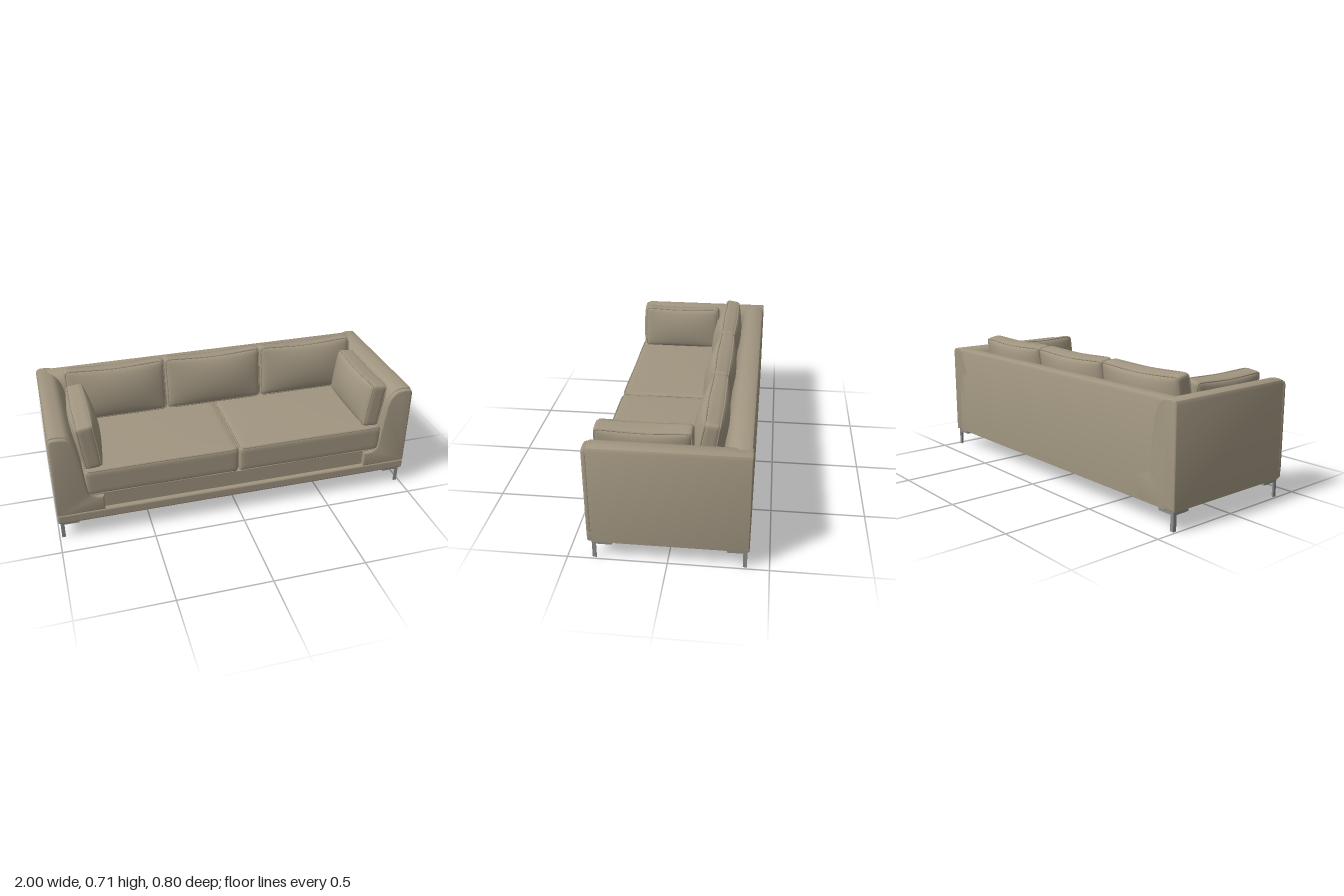
import * as THREE from 'three';
import { mergeVertices, toCreasedNormals } from 'three/addons/utils/BufferGeometryUtils.js';
import { RoundedBoxGeometry } from 'three/addons/geometries/RoundedBoxGeometry.js';

const fabric = new THREE.MeshStandardMaterial({ color: 0xa09580 });
fabric.name = 'taupe fabric';
const metal = new THREE.MeshStandardMaterial({ color: 0x8c8c8c });
metal.name = 'brushed metal';
const lining = new THREE.MeshStandardMaterial({ color: 0x111111 });
lining.name = 'black lining';

function add(parent, name, geometry, material, x = 0, y = 0, z = 0) {
  const mesh = new THREE.Mesh(geometry, material);
  mesh.name = name;
  mesh.position.set(x, y, z);
  parent.add(mesh);
  return mesh;
}

// Profile extruded along z between two depths, with softened edges
function extrude(points, z0, z1, bevel) {
  const shape = new THREE.Shape(points.map(([x, y]) => new THREE.Vector2(x, y)));
  const geo = new THREE.ExtrudeGeometry(shape, {
    depth: z1 - z0 - 2 * bevel, bevelEnabled: true, bevelThickness: bevel,
    bevelSize: bevel, bevelOffset: -bevel, bevelSegments: 3,
  });
  geo.translate(0, 0, z0 + bevel);
  return toCreasedNormals(geo, 0.6);
}

// Smooth run of points through a few control points
function smooth(points, n = 24) {
  const curve = new THREE.SplineCurve(points.map(([x, y]) => new THREE.Vector2(x, y)));
  return curve.getPoints(n).map((p) => [p.x, p.y]);
}

// Stuffed cushion: rounded box, faces swollen along z, upper edge sagging, piped seams
function cushion(name, w, h, d, r, bulge, sag) {
  const group = new THREE.Group();
  group.name = name;
  const half = new THREE.Vector3(w / 2, h / 2, d / 2);
  const inner = half.clone().subScalar(r);
  const swell = (p) => {
    const u = p.x / half.x, v = p.y / half.y;
    const f = Math.max(0, 1 - u * u) * Math.max(0, 1 - v * v);
    p.z += (p.z / half.z) * bulge * Math.pow(f, 0.7);
    if (v > 0) p.y -= sag * v * Math.max(0, 1 - u * u);
    return p;
  };

  let geo = new THREE.BoxGeometry(2, 2, 2, 24, 20, 12);
  geo.deleteAttribute('normal');
  geo.deleteAttribute('uv');
  geo = mergeVertices(geo);
  const pos = geo.attributes.position;
  const p = new THREE.Vector3(), core = new THREE.Vector3();
  const ease = (t) => Math.sin((t * Math.PI) / 2);
  for (let i = 0; i < pos.count; i++) {
    p.fromBufferAttribute(pos, i);
    p.set(ease(p.x), ease(p.y), ease(p.z)).multiply(half);
    core.copy(p).clamp(inner.clone().negate(), inner);
    p.sub(core).setLength(r).add(core);
    swell(p);
    pos.setXYZ(i, p.x, p.y, p.z);
  }
  geo.computeVertexNormals();
  add(group, 'stuffing cover', geo, fabric);

  const inset = 0.29 * r;
  for (const side of [-1, 1]) {
    const path = [];
    for (const [cx, cy, a0] of [[1, 1, 0], [-1, 1, 1], [-1, -1, 2], [1, -1, 3]]) {
      for (let k = 0; k <= 3; k++) {
        const a = (a0 + k / 3) * Math.PI / 2, q = r - inset;
        path.push(new THREE.Vector3(cx * inner.x + q * Math.cos(a),
          cy * inner.y + q * Math.sin(a), side * (half.z - inset)));
      }
      // Midpoint of the following straight edge
      const m = [[0, 1], [-1, 0], [0, -1], [1, 0]][a0];
      path.push(new THREE.Vector3(m[0] * (half.x - inset), m[1] * (half.y - inset), side * (half.z - inset)));
    }
    const curve = new THREE.CatmullRomCurve3(path.map(swell), true);
    add(group, 'piping', new THREE.TubeGeometry(curve, 100, 0.0045, 6, true), fabric);
  }
  return group;
}

export function createModel() {
  const sofa = new THREE.Group();
  sofa.name = 'sofa';

  // Plinth, front rail and underside
  add(sofa, 'base', new THREE.BoxGeometry(1.6, 0.144, 0.77), fabric, 0, 0.175, -0.012);
  add(sofa, 'frontRail', new RoundedBoxGeometry(2, 0.058, 0.04, 3, 0.012), fabric, 0, 0.131, 0.377);
  add(sofa, 'underside', new THREE.BoxGeometry(1.96, 0.008, 0.76), lining, 0, 0.1, -0.004);

  // Inner curve of the arm, from the foot of the opening up to the rounded top
  const armCurve = smooth([[0.745, 0.245], [0.79, 0.249], [0.822, 0.278], [0.835, 0.36],
    [0.848, 0.48], [0.866, 0.575], [0.9, 0.622], [0.94, 0.635]], 32);
  const armTop = [[0.975, 0.635], [0.992, 0.629], [1, 0.612]];

  for (const s of [1, -1]) {
    const side = s > 0 ? 'left' : 'right';
    const mirror = (pts) => pts.map(([x, y]) => [s * x, y]);
    const body = [[1, 0.102], [0.745, 0.102], ...armCurve, ...armTop];
    add(sofa, side + 'Arm', extrude(mirror(body), -0.4, 0.377, 0.006), fabric);
    const facing = [[1, 0.156], [0.745, 0.156], ...armCurve, ...armTop]
      .map(([x, y]) => [x, y > 0.3 ? y - 0.008 * (y - 0.3) / 0.335 : y]);
    add(sofa, side + 'ArmFacing', extrude(mirror(facing), 0.37, 0.397, 0.009), fabric);

    // Seat cushion
    const seat = cushion(side + 'SeatCushion', 0.836, 0.63, 0.155, 0.024, 0.009, 0);
    seat.rotation.x = -Math.PI / 2;
    seat.position.set(s * 0.419, 0.333, 0.08);
    sofa.add(seat);

    // Loose cushion leaning against the arm
    const lean = new THREE.Group();
    lean.name = side + 'ArmCushion';
    const pad = cushion('armPad', 0.48, 0.262, 0.09, 0.022, 0.034, 0.008);
    pad.rotation.y = s * Math.PI / 2;
    lean.add(pad);
    lean.rotation.z = -s * 0.13;
    lean.position.set(s * 0.795, 0.533, 0.13);
    sofa.add(lean);
  }

  // Backrest between the arms
  const backProfile = [[-0.4, 0.102], [-0.4, 0.615], [-0.393, 0.629], [-0.38, 0.635],
    ...smooth([[-0.34, 0.635], [-0.3, 0.622], [-0.268, 0.575], [-0.25, 0.48], [-0.245, 0.36]], 18),
    [-0.245, 0.102]];
  const back = add(sofa, 'backrest', extrude(backProfile, -0.94, 0.94, 0.004), fabric);
  back.rotation.y = -Math.PI / 2;

  // Three back cushions, leaning back
  for (const i of [-1, 0, 1]) {
    const pad = cushion('backCushion', 0.566, 0.3, 0.082, 0.022, 0.045, 0.012);
    pad.rotation.x = -0.17;
    pad.position.set(i * 0.57, 0.56, -0.178);
    sofa.add(pad);
  }

  // Corner legs: two-armed bracket with an angle post
  for (const sx of [1, -1]) {
    for (const sz of [1, -1]) {
      const leg = new THREE.Group();
      leg.name = (sz > 0 ? 'front' : 'back') + (sx > 0 ? 'Left' : 'Right') + 'Leg';
      const x = sx * 0.988, z = sz > 0 ? 0.375 : -0.39;
      add(leg, 'bracketAcross', new THREE.BoxGeometry(0.1, 0.016, 0.026), metal, x - sx * 0.05, 0.09, z - sz * 0.013);
      add(leg, 'bracketAlong', new THREE.BoxGeometry(0.026, 0.016, 0.1), metal, x - sx * 0.013, 0.09, z - sz * 0.05);
      add(leg, 'postOuter', new THREE.BoxGeometry(0.006, 0.09, 0.02), metal, x - sx * 0.003, 0.045, z - sz * 0.01);
      add(leg, 'postEnd', new THREE.BoxGeometry(0.02, 0.09, 0.006), metal, x - sx * 0.01, 0.045, z - sz * 0.003);
      sofa.add(leg);
    }
  }
  return sofa;
}
